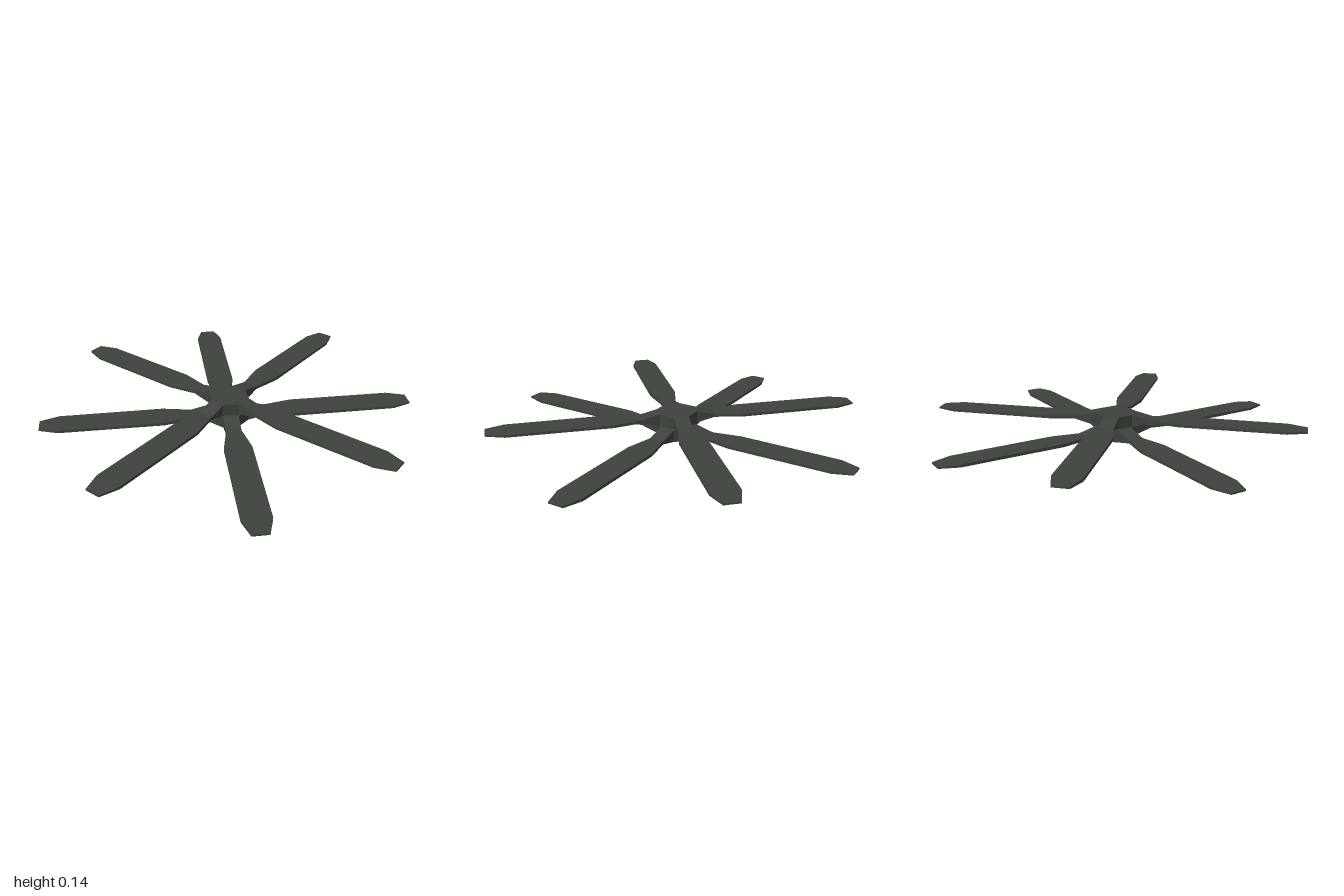
import * as THREE from 'three';

const HUB = 0.1; // hub distance from centre to flat side
const HUB_HALF = 0.032; // half the hub height

// Blade stations: distance from axis, half width, half thickness
const STATIONS = [
  [HUB, 0.041, HUB_HALF],
  [0.2, 0.041, 0.008],
  [0.35, 0.072, 0.008],
  [0.9, 0.072, 0.007],
  [1.0, 0.041, 0.004],
];

// Box divided along x, with each ring moved to its station
function bladeGeometry() {
  const n = STATIONS.length - 1;
  const box = new THREE.BoxGeometry(n, 2, 2, n, 1, 1);
  const p = box.attributes.position;
  for (let i = 0; i < p.count; i++) {
    const [r, w, h] = STATIONS[Math.round(p.getX(i) + n / 2)];
    p.setXYZ(i, r, p.getY(i) * h, p.getZ(i) * w);
  }
  const geometry = box.toNonIndexed();
  geometry.computeVertexNormals();
  return geometry;
}

export function createModel() {
  const model = new THREE.Group();
  model.name = 'coaxialRotor';

  const bladePaint = new THREE.MeshStandardMaterial({ color: 0x3d433c, flatShading: true });
  bladePaint.name = 'dark olive grey';

  const blade = bladeGeometry();
  const hub = new THREE.CylinderGeometry(HUB / Math.cos(Math.PI / 8), HUB / Math.cos(Math.PI / 8), HUB_HALF * 2, 8);
  hub.rotateY(Math.PI / 8);

  // Four blades around an eight-sided hub
  function addRotor(name, y, turn) {
    const rotor = new THREE.Group();
    rotor.name = name;
    const hubMesh = new THREE.Mesh(hub, bladePaint);
    hubMesh.name = 'hub';
    rotor.add(hubMesh);
    for (let i = 0; i < 4; i++) {
      const mesh = new THREE.Mesh(blade, bladePaint);
      mesh.name = 'blade' + (i + 1);
      mesh.rotation.y = (i * Math.PI) / 2;
      rotor.add(mesh);
    }
    rotor.position.y = y;
    rotor.rotation.y = turn;
    model.add(rotor);
  }

  addRotor('lowerRotor', HUB_HALF, Math.PI / 4);
  addRotor('upperRotor', 0.106, 0);

  return model;
}
